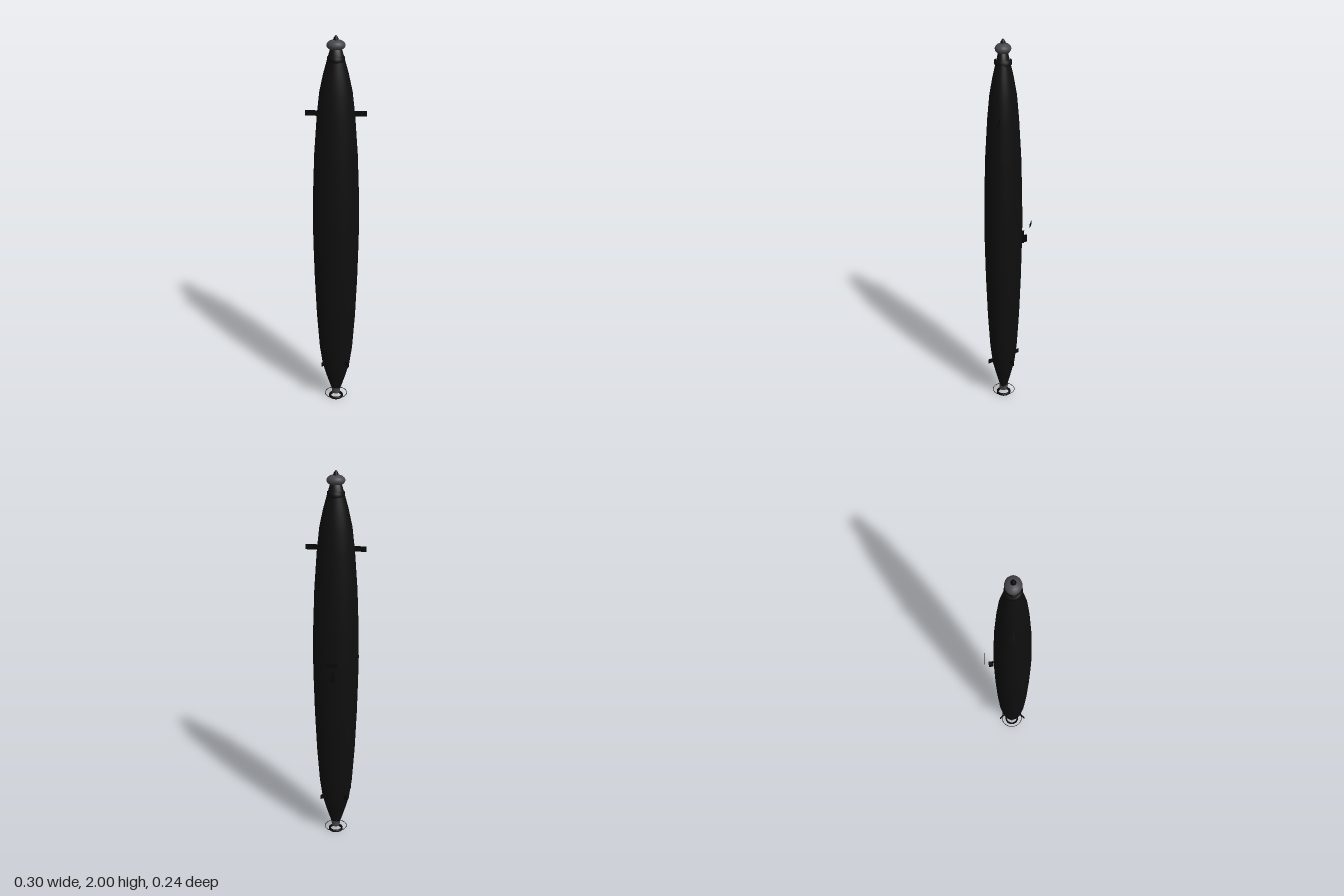
import * as THREE from 'three';

const paint = (name, color, side = THREE.FrontSide) => {
  const m = new THREE.MeshStandardMaterial({ color, side });
  m.name = name;
  return m;
};

export function createModel() {
  const model = new THREE.Group();
  model.name = 'submarine';
  const black = paint('hull black', 0x0e0e0f);
  const dark = paint('fitting black', 0x070707, THREE.DoubleSide);
  const grey = paint('dome grey', 0x46464b);
  const axisZ = 0.023; // the hull axis sits slightly forward
  const flatten = 0.82; // hull depth compared with its width

  const add = (name, geometry, material, x = 0, y = 0, z = axisZ) => {
    const mesh = new THREE.Mesh(geometry, material);
    mesh.name = name;
    mesh.position.set(x, y, z);
    model.add(mesh);
    return mesh;
  };
  const lathe = (points, segments = 48) =>
    new THREE.LatheGeometry(points.map(([r, y]) => new THREE.Vector2(r, y)), segments);
  const box = (w, h, d) => new THREE.BoxGeometry(w, h, d);

  // Upright spindle hull, tail down
  const hull = add('hull', lathe([
    [0, 0.025], [0.02, 0.025], [0.023, 0.05], [0.046, 0.12], [0.071, 0.205], [0.086, 0.31],
    [0.1, 0.5], [0.11, 0.72], [0.115, 0.9], [0.1175, 1.03], [0.115, 1.2],
    [0.108, 1.4], [0.094, 1.6], [0.081, 1.72], [0.062, 1.81], [0.043, 1.88],
    [0.029, 1.93], [0, 1.935],
  ], 64), black);
  hull.scale.z = flatten;

  // Nose collar, sonar dome and tip
  add('noseCollar', lathe([
    [0.036, 1.87], [0.043, 1.876], [0.043, 1.893], [0.034, 1.9],
  ]), black);
  const dome = add('noseDome', lathe([
    [0, 1.932], [0.036, 1.934], [0.044, 1.943], [0.046, 1.952],
    [0.042, 1.962], [0.031, 1.971], [0.014, 1.977], [0, 1.978],
  ]), grey);
  dome.scale.z = 0.86;
  add('noseTip', lathe([[0.014, 1.972], [0.012, 1.983], [0.006, 1.994], [0, 2]], 20), dark);

  // Bow planes on both sides
  for (const side of [-1, 1]) {
    add('bowPlane', box(0.07, 0.027, 0.003), dark, side * 0.115, 1.612);
  }

  // Four tail fins set as an X
  for (const sx of [-1, 1]) {
    for (const sz of [-1, 1]) {
      const fin = add('tailFin', box(0.045, 0.024, 0.003), dark,
        sx * 0.056, 0.235, axisZ + sz * 0.053);
      fin.rotation.y = -sx * sz * Math.PI / 4;
    }
  }

  // Tail cone end and propeller rings
  add('tailBand', new THREE.CylinderGeometry(0.024, 0.021, 0.03, 32), grey, 0, 0.042);
  const guard = add('guardRing', new THREE.TorusGeometry(0.058, 0.0015, 6, 48), dark, 0, 0.021);
  guard.rotation.x = Math.PI / 2;
  add('propellerRing', lathe([
    [0.029, 0], [0.037, 0], [0.037, 0.011], [0.029, 0.011], [0.029, 0],
  ]), dark);

  // Small deck fittings on the back
  add('deckMast', box(0.006, 0.07, 0.01), dark, 0, 0.965, -0.08);
  add('deckBlock', box(0.019, 0.034, 0.013), dark, 0, 0.957, -0.092);
  add('deckRail', box(0.055, 0.018, 0.002), dark, 0, 1.04, -0.118);

  return model;
}
